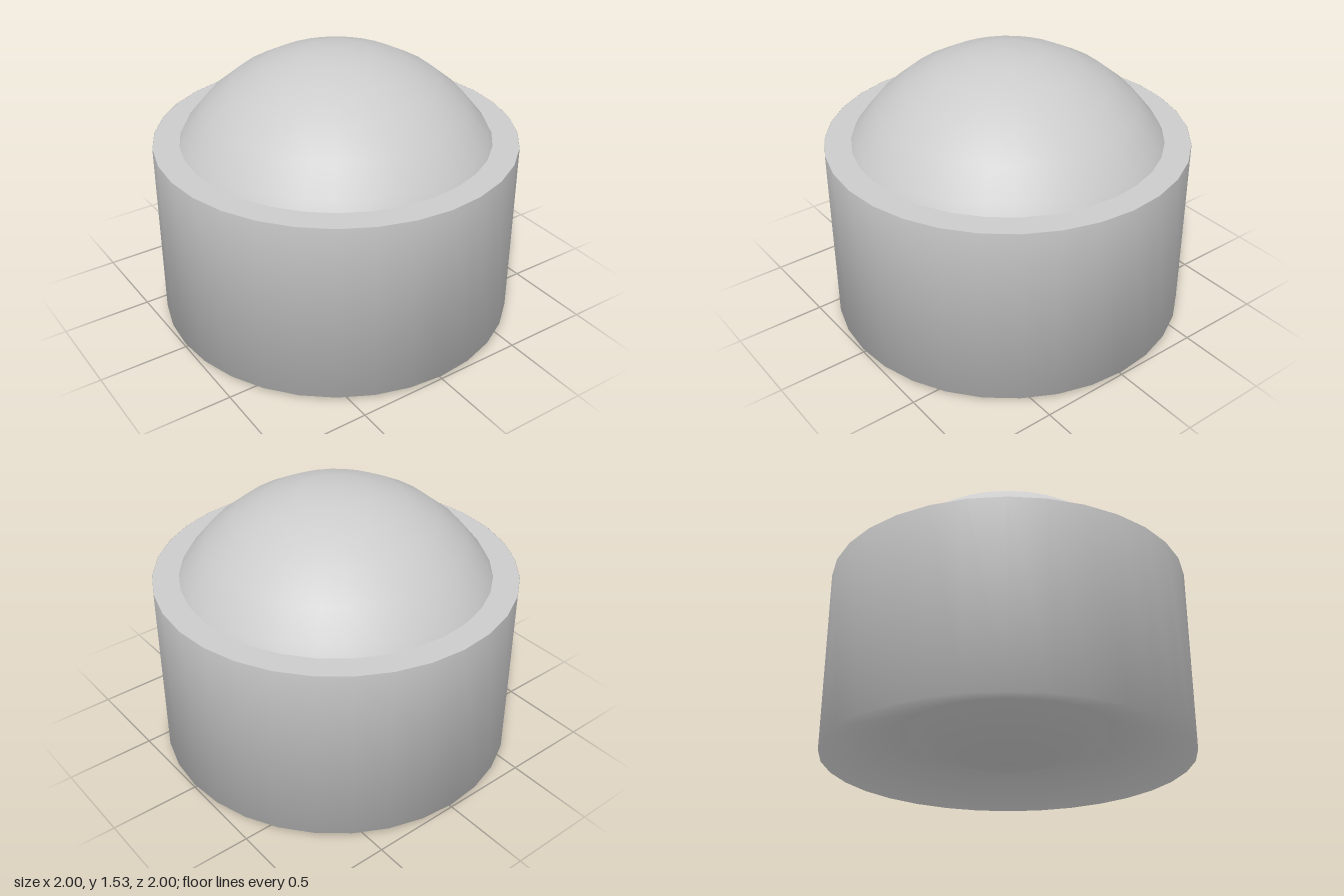
import * as THREE from 'three';

const SIDES = 32;
const material = new THREE.MeshStandardMaterial({ color: 0xcccccc });

// Shallow cap of a unit sphere, apex up, with the apex at the origin
function sphereCap(rings) {
  const step = Math.PI / 16;
  const cap = new THREE.SphereGeometry(1, SIDES, rings, 0, Math.PI * 2, 0, rings * step);
  return cap.translate(0, -1, 0);
}

export function createModel() {
  const group = new THREE.Group();
  group.name = 'domedDrum';

  const add = (name, geometry) => {
    const mesh = new THREE.Mesh(geometry, material);
    mesh.name = name;
    group.add(mesh);
    return mesh;
  };

  // Housing: hollow cone underside, softly shaded wall, flat top rim
  const profile = [
    [0.5, 0.18], [1, 0.02], [1, 1.04], [0.998, 1.04], [0.83, 1.04],
  ].map(([r, y]) => new THREE.Vector2(r, y));
  add('housing', new THREE.LatheGeometry(profile, SIDES));

  // Large dome rising out of the top rim
  add('topDome', sphereCap(6)).position.y = 1.53;

  // Shallow bulge filling the middle of the underside
  add('bottomBulge', sphereCap(4).rotateX(Math.PI));

  return group;
}
